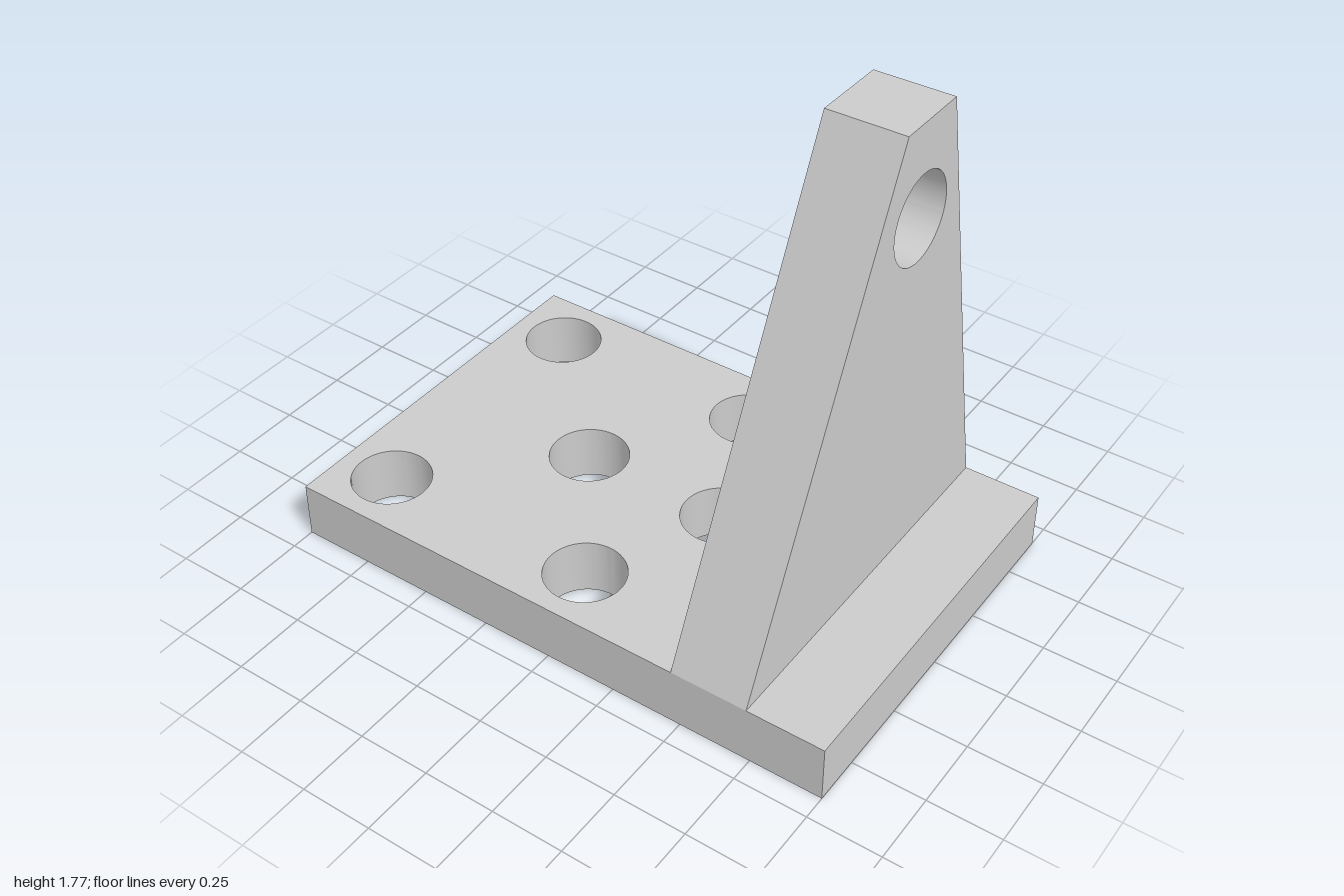
import * as THREE from 'three';
import { toCreasedNormals } from 'three/addons/utils/BufferGeometryUtils.js';

const material = new THREE.MeshStandardMaterial({ color: 0xcccccc });

// Flat plate from an outline with round holes [x, y, radius]
function drilledPlate(outline, holes, depth) {
  const shape = new THREE.Shape(outline.map(([x, y]) => new THREE.Vector2(x, y)));
  for (const [x, y, r] of holes) {
    shape.holes.push(new THREE.Path().absarc(x, y, r, 0, Math.PI * 2, true));
  }
  const geometry = new THREE.ExtrudeGeometry(shape, { depth, bevelEnabled: false, curveSegments: 48 });
  return toCreasedNormals(geometry, 0.5);
}

function addPart(group, name, geometry) {
  const mesh = new THREE.Mesh(geometry, material);
  mesh.name = name;
  group.add(mesh);
}

export function createModel() {
  const group = new THREE.Group();
  group.name = 'mountingBracket';

  const halfDepth = 0.667;
  const baseHeight = 0.2;

  // Base plate with six bolt holes
  const boltHoles = [
    [-0.8, 0.467], [-0.8, -0.467], [0, 0.467], [0, -0.467], [-0.333, 0], [0.2, 0],
  ].map(([x, z]) => [x, z, 0.135]);
  const base = drilledPlate(
    [[-1, -halfDepth], [1, -halfDepth], [1, halfDepth], [-1, halfDepth]],
    boltHoles, baseHeight);
  base.rotateX(-Math.PI / 2);
  addPart(group, 'basePlate', base);

  // Tapered upright with pivot hole, outline drawn as (z, y)
  const upright = drilledPlate(
    [[-halfDepth, baseHeight], [halfDepth, baseHeight], [-0.067, 1.767], [-0.333, 1.767]],
    [[-0.177, 1.447, 0.148]], 0.267);
  upright.rotateY(-Math.PI / 2);
  upright.translate(0.733, 0, 0);
  addPart(group, 'upright', upright);

  return group;
}
